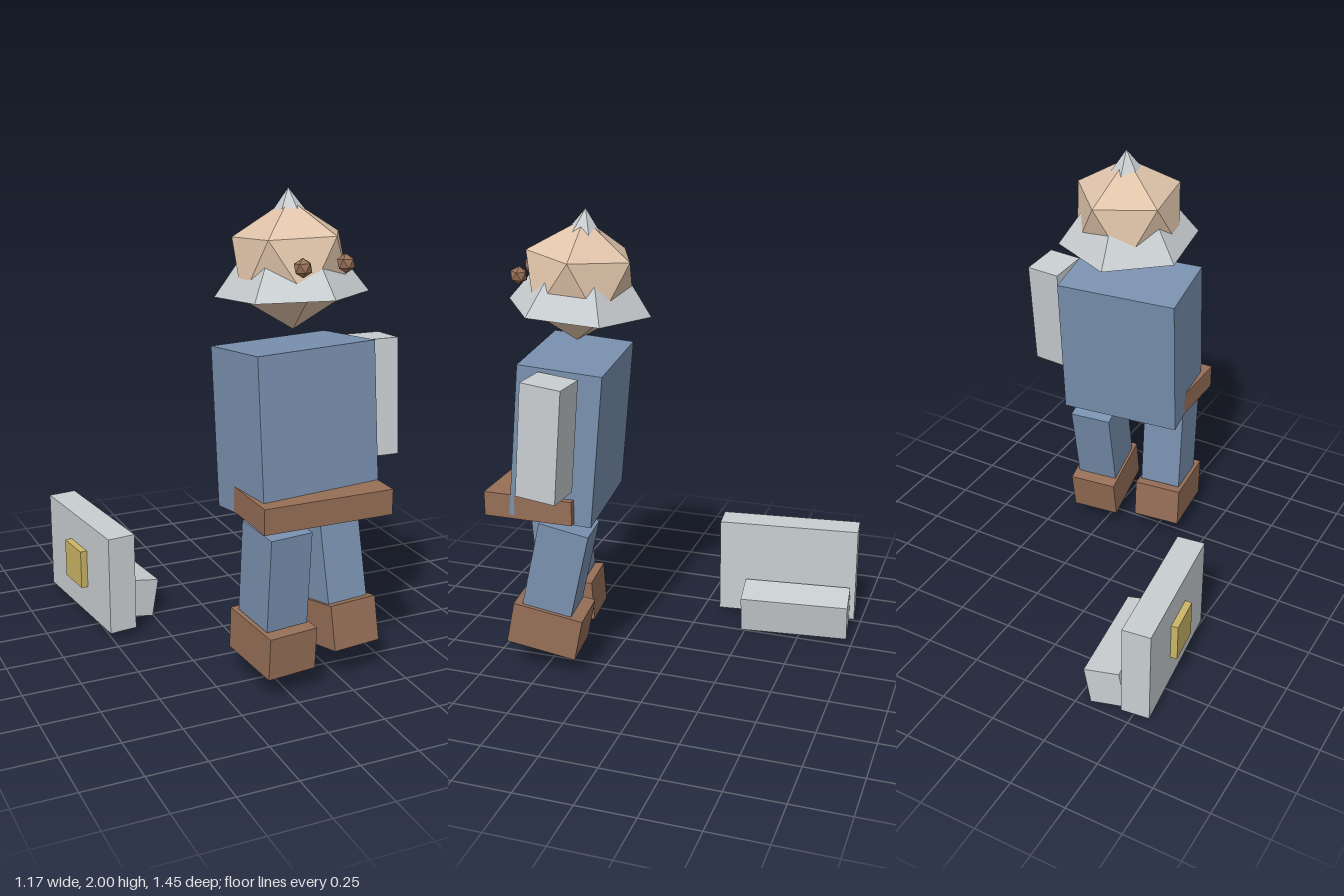
import * as THREE from 'three';

const mat = (name, color) => {
  const m = new THREE.MeshStandardMaterial({ color, flatShading: true });
  m.name = name;
  return m;
};

export function createModel() {
  const group = new THREE.Group();
  const blue = mat('blue cloth', 0x7a91b0);
  const grey = mat('pale grey', 0xc9ced1);
  const brown = mat('brown leather', 0x966f57);
  const skin = mat('skin', 0xe0c4aa);
  const gold = mat('gold', 0xcbb567);
  const YAW = 0.113; // shared turn of the whole figure

  // Add a part: pitch first, then yaw about the vertical
  const add = (name, geo, material, pos, pitch = 0, yaw = YAW, roll = 0) => {
    const m = new THREE.Mesh(geo, material);
    m.name = name;
    m.position.set(...pos);
    m.rotation.set(pitch, yaw, roll, 'YXZ');
    group.add(m);
    return m;
  };
  const box = (name, size, ...rest) => add(name, new THREE.BoxGeometry(...size), ...rest);

  // Icosahedron standing on one corner
  const ico = (r) => new THREE.IcosahedronGeometry(r, 0)
    .rotateX(-Math.atan((1 + Math.sqrt(5)) / 2))
    .rotateY(Math.PI / 10);

  // Body
  box('torso', [0.545, 0.662, 0.355], blue, [0.128, 1.063, 0.431], -0.093);
  box('belt', [0.565, 0.107, 0.395], brown, [0.137, 0.785, 0.523], 0, 0);
  box('leftArm', [0.157, 0.487, 0.178], grey, [0.497, 1.137, 0.391], -0.085, -0.07);

  // Legs and boots
  box('rightLeg', [0.19, 0.4, 0.22], blue, [-0.018, 0.495, 0.555], 0.065);
  box('rightBoot', [0.22, 0.182, 0.31], brown, [-0.02, 0.2, 0.545], 0.055);
  box('leftLeg', [0.19, 0.4, 0.22], blue, [0.287, 0.49, 0.437], -0.22);
  box('leftBoot', [0.22, 0.19, 0.31], brown, [0.296, 0.208, 0.487], -0.2);

  // Head, with a six-sided pointed hat passing through it
  add('head', ico(0.256), skin, [0.123, 1.704, 0.378], -0.085);
  add('hat', new THREE.ConeGeometry(0.305, 0.414, 6), grey, [0.122, 1.794, 0.367], -0.085);
  add('rightEye', ico(0.038), brown, [0.05, 1.735, 0.622], -0.085);
  add('leftEye', ico(0.038), brown, [0.246, 1.735, 0.598], -0.085);

  // Shield and detached arm lying behind
  box('shield', [0.125, 0.445, 0.64], grey, [-0.4825, 0.2525, -0.4]);
  box('shieldBoss', [0.04, 0.175, 0.17], gold, [-0.555, 0.252, -0.39]);
  box('detachedArm', [0.16, 0.175, 0.49], grey, [-0.343, 0.101, -0.468], 0, YAW, -0.18);

  return group;
}
